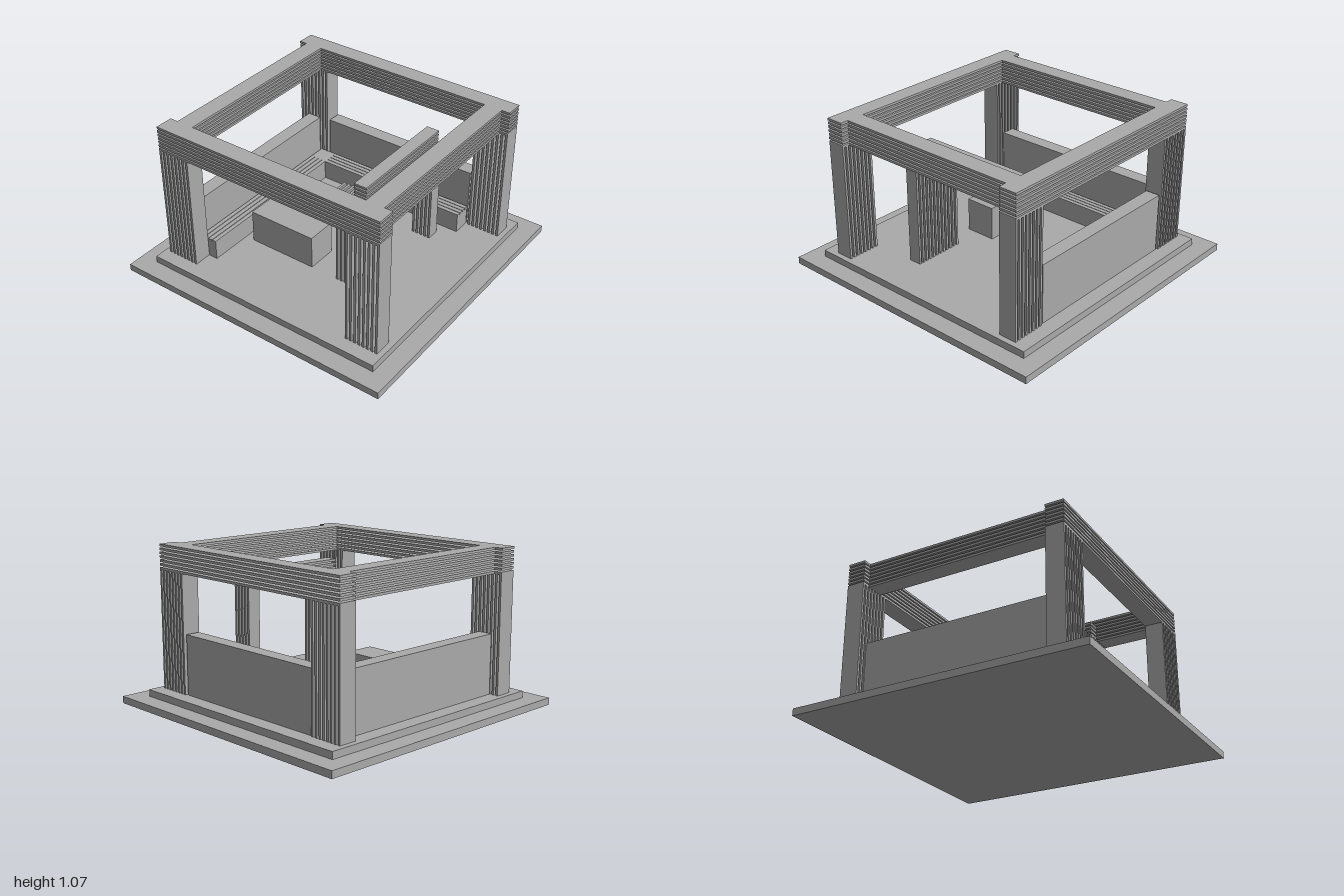
import * as THREE from 'three';

const SLAT = 0.016;

export function createModel() {
  const model = new THREE.Group();
  model.name = 'pergola';
  const grey = new THREE.MeshStandardMaterial({ color: 0xaaaaaa });
  grey.name = 'plain grey';

  // Box given by its minimum and maximum on each axis
  function block(name, [x0, x1], [y0, y1], [z0, z1], parent = model) {
    const mesh = new THREE.Mesh(new THREE.BoxGeometry(x1 - x0, y1 - y0, z1 - z0), grey);
    mesh.name = name;
    mesh.position.set((x0 + x1) / 2, (y0 + y1) / 2, (z0 + z1) / 2);
    parent.add(mesh);
  }

  // Row of evenly spaced slats filling a box along one axis (0 = x, 1 = y, 2 = z)
  function slats(name, axis, count, x, y, z, thick = SLAT) {
    const group = new THREE.Group();
    group.name = name;
    const [start, end] = [x, y, z][axis];
    const pitch = (end - start - thick) / (count - 1);
    for (let i = 0; i < count; i++) {
      const range = [x, y, z];
      range[axis] = [start + i * pitch, start + i * pitch + thick];
      block(name + 'Slat', ...range, group);
    }
    model.add(group);
  }

  const floor = 0.095, postTop = 0.895, beamTop = 1.065;

  // Stepped base
  block('lowerBase', [-1, 1], [0, 0.048], [-1, 1]);
  block('upperBase', [-0.875, 0.875], [0.048, floor], [-0.875, 0.875]);

  // Corner posts of upright slats, with layered beams on top
  for (const [zName, z] of [['front', [0.655, 0.78]], ['back', [-0.78, -0.655]]]) {
    slats(zName + 'RightPost', 0, 8, [-0.837, -0.602], [floor, postTop], z);
    slats(zName + 'LeftPost', 0, 8, [0.602, 0.837], [floor, postTop], z);
    slats(zName + 'Beam', 1, 7, [-0.837, 0.837], [postTop, beamTop], z);
  }
  slats('rightBeam', 1, 7, [-0.78, -0.655], [postTop, beamTop], [-0.655, 0.655]);
  slats('leftBeam', 1, 7, [0.655, 0.78], [postTop, beamTop], [-0.655, 0.655]);

  // Low walls
  block('backWall', [-0.59, 0.585], [floor, 0.5], [-0.77, -0.67]);
  block('sideWall', [-0.77, -0.67], [floor, 0.5], [-0.655, 0.655]);

  // Corner bench with slatted seats
  const seat = [0.222, 0.235];
  block('sideBenchBase', [-0.66, -0.535], [floor, 0.222], [-0.535, 0.655]);
  block('backBenchBase', [-0.66, 0.585], [floor, 0.222], [-0.66, -0.535]);
  block('benchCorner', [-0.66, -0.535], seat, [-0.66, -0.535]);
  slats('sideBenchSeat', 0, 4, [-0.66, -0.535], seat, [-0.535, 0.655], 0.028);
  slats('backBenchSeat', 2, 4, [-0.535, 0.585], seat, [-0.66, -0.535], 0.028);

  // Table block
  block('table', [-0.47, 0.027], [floor, 0.328], [0.14, 0.355]);

  // Inner screen, post and the layered beam joining them
  slats('screen', 0, 12, [0.225, 0.585], [floor, 0.8], [0.267, 0.357]);
  slats('innerPost', 0, 5, [0.335, 0.475], [floor, 0.8], [-0.453, -0.363]);
  slats('innerBeam', 1, 4, [0.36, 0.45], [0.8, postTop], [-0.453, 0.357]);

  return model;
}
